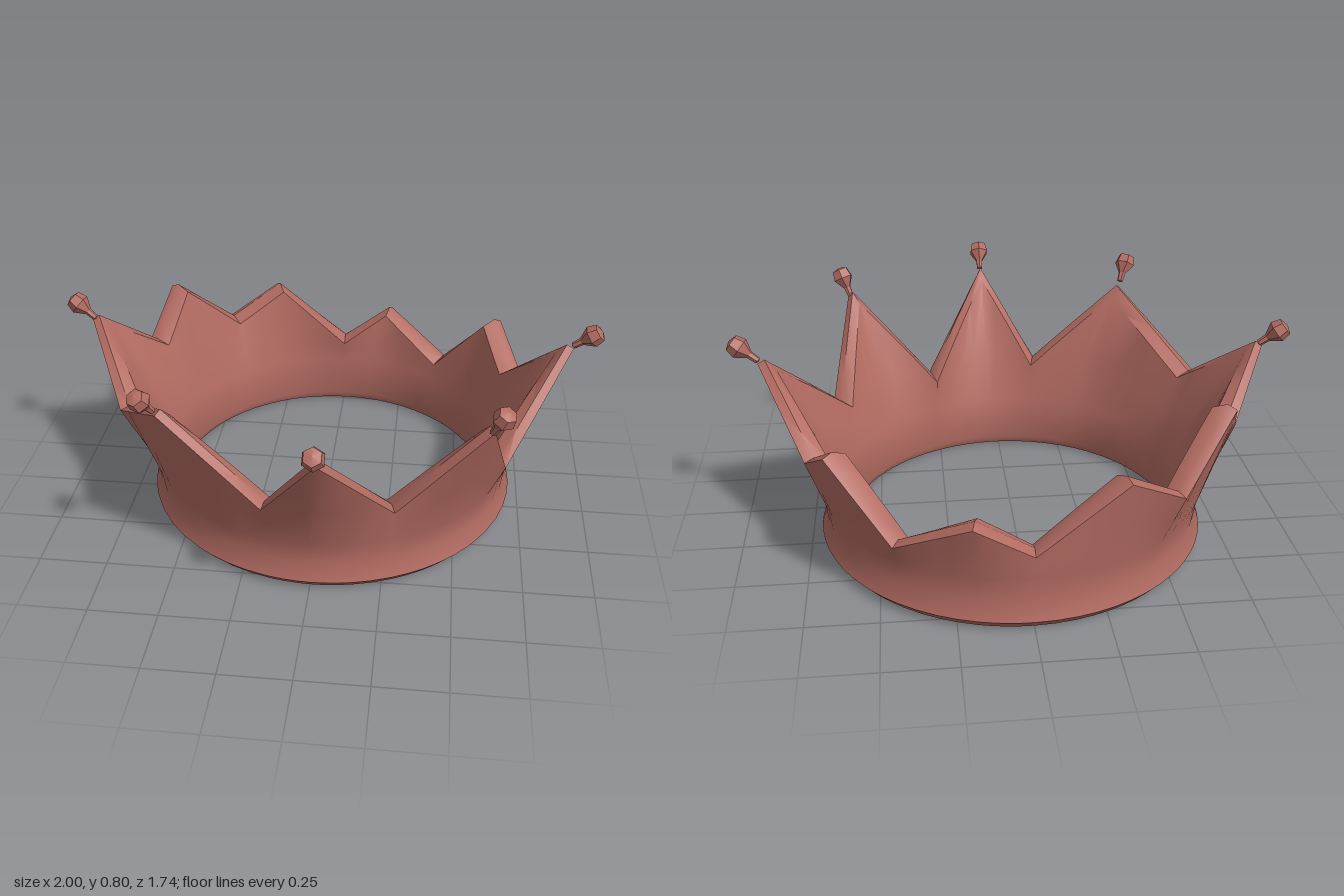
import * as THREE from 'three';
import { toCreasedNormals } from 'three/addons/utils/BufferGeometryUtils.js';

// Rim corners counter-clockwise from the front: x, y, z, and 1 where a bead sits
const RIM = [
  [0.05, 0.70, 0.78, 1], [0.29, 0.34, 0.51, 0],
  [0.60, 0.70, 0.53, 1], [0.67, 0.36, 0.23, 0],
  [0.90, 0.68, -0.10, 1], [0.74, 0.42, -0.37, 0],
  [0.66, 0.54, -0.57, 0], [0.45, 0.28, -0.71, 0],
  [0.20, 0.43, -0.87, 0], [0.00, 0.30, -0.84, 0],
  [-0.30, 0.54, -0.83, 0], [-0.50, 0.42, -0.73, 0],
  [-0.70, 0.64, -0.55, 0], [-0.76, 0.48, -0.36, 0],
  [-0.91, 0.69, -0.13, 1], [-0.75, 0.46, 0.15, 0],
  [-0.51, 0.69, 0.53, 1], [-0.16, 0.37, 0.58, 0],
];
// Bead centres, in the order of the beaded corners above
const BEADS = [[0.05, 0.75, 0.83], [0.62, 0.75, 0.55], [0.96, 0.725, -0.09], [-0.96, 0.73, -0.14], [-0.54, 0.76, 0.58]];
const CX = 0.01, CZ = -0.14, STEPS = 4;

// Closed wall section below one rim point: up the outside, over the rim, down the inside
function section(rim, bead) {
  const dx = rim.x - CX, dz = rim.z - CZ, r = Math.hypot(dx, dz);
  const at = (radius, y) => new THREE.Vector3(CX + dx / r * radius, y, CZ + dz / r * radius);
  const thick = 0.085 - 0.02 * bead, drop = 0.02 + 0.02 * bead;
  const outer = at(0.695, 0.2), inner = at(0.625, 0.2);
  const lip = at(r, rim.y - 0.015), fold = at(r - thick, rim.y - drop);
  return [
    at(0.675, 0.005), at(0.705, 0.04), at(0.683, 0.11), outer,
    outer.clone().lerp(lip, 0.5), lip,
    at(r - thick * 0.4, rim.y), fold,
    inner.clone().lerp(fold, 0.5), inner, at(0.6, 0.04), at(0.615, 0.008),
  ];
}

// Wall swept through all the sections
function wallGeometry() {
  const sections = [];
  RIM.forEach((p, k) => {
    const q = RIM[(k + 1) % RIM.length];
    for (let s = 0; s < STEPS; s++) {
      const [x, y, z, bead] = p.map((v, i) => THREE.MathUtils.lerp(v, q[i], s / STEPS));
      sections.push(section(new THREE.Vector3(x, y, z), bead));
    }
  });
  const n = sections.length, m = sections[0].length, index = [];
  for (let j = 0; j < n; j++) {
    for (let i = 0; i < m; i++) {
      const j2 = (j + 1) % n, i2 = (i + 1) % m;
      const a = j * m + i, b = j2 * m + i, c = j2 * m + i2, d = j * m + i2;
      index.push(a, b, c, a, c, d);
    }
  }
  const geometry = new THREE.BufferGeometry().setFromPoints(sections.flat());
  geometry.setIndex(index);
  return toCreasedNormals(geometry, 0.7);
}

export function createModel() {
  const group = new THREE.Group();
  group.name = 'crown';
  const clay = new THREE.MeshStandardMaterial({ color: 0xb36c62 });
  clay.name = 'dusty red';

  const wall = new THREE.Mesh(wallGeometry(), clay);
  wall.name = 'crownWall';
  group.add(wall);

  // Faceted beads on narrow necks at the front and side points
  const profile = [[0, -0.025], [0.012, -0.02], [0.014, 0.015], [0.04, 0.055], [0.032, 0.09], [0, 0.1]];
  const beadGeometry = toCreasedNormals(
    new THREE.LatheGeometry(profile.map(([x, y]) => new THREE.Vector2(x, y)), 6), 0.4);
  const tips = RIM.filter((p) => p[3] === 1);
  tips.forEach((p, k) => {
    const tip = new THREE.Vector3(p[0], p[1], p[2]);
    const centre = new THREE.Vector3(...BEADS[k]);
    const direction = centre.clone().sub(tip).normalize();
    const bead = new THREE.Mesh(beadGeometry, clay);
    bead.name = 'pointBead' + (k + 1);
    bead.quaternion.setFromUnitVectors(new THREE.Vector3(0, 1, 0), direction);
    bead.position.copy(centre).addScaledVector(direction, -0.06);
    group.add(bead);
  });
  return group;
}
